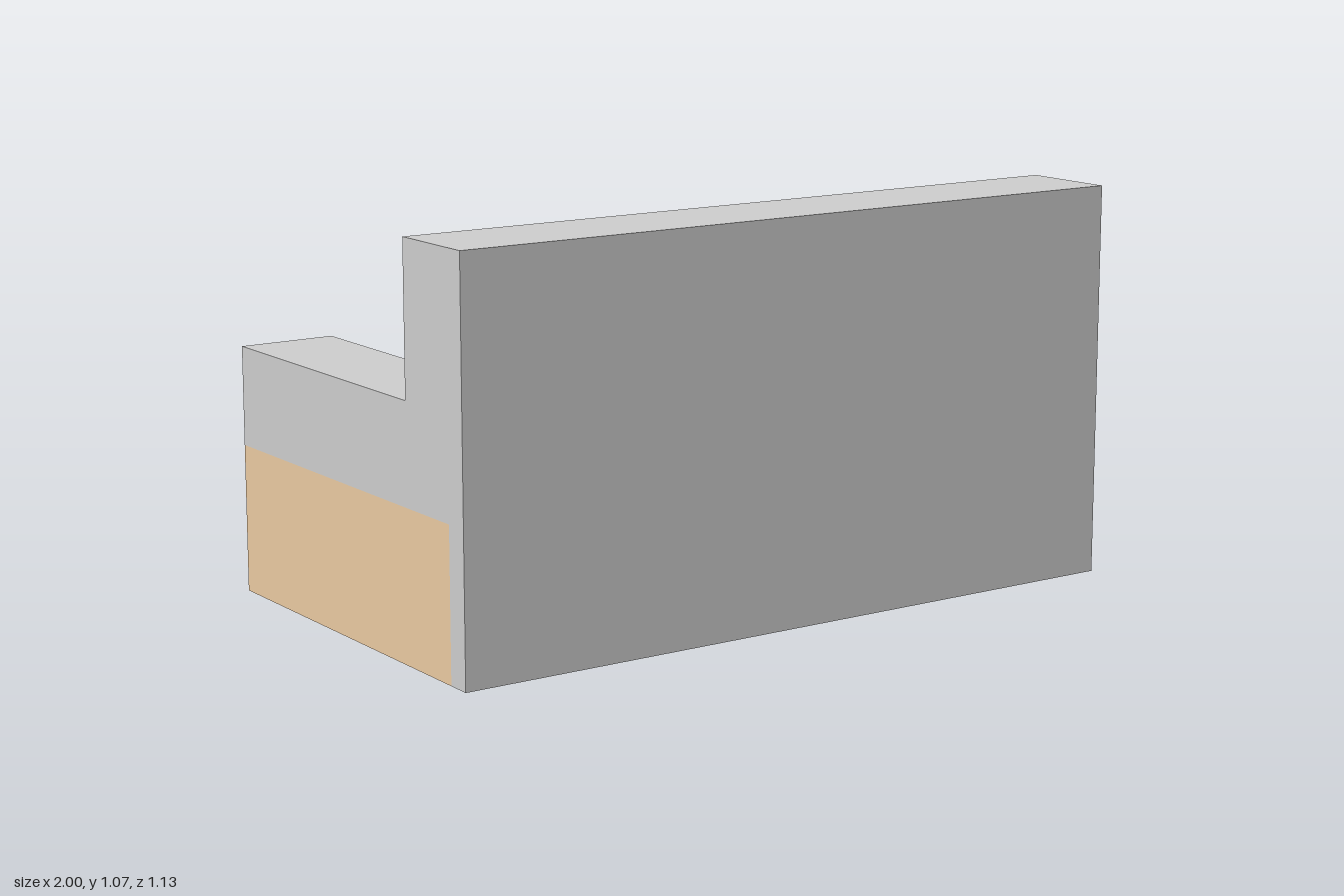
import * as THREE from 'three';

const GREY = 0xcccccc, TAN = 0xe8c8a0;
const HALF = 0.567; // half depth
const BASE_TOP = 0.4, BASE_END = 0.5, BACK_FACE = 0.3;

const material = color => new THREE.MeshStandardMaterial({ color, flatShading: true });

// Box given by its lower and upper corners
function block(name, min, max, mat) {
  const size = max.map((v, i) => v - min[i]);
  const mesh = new THREE.Mesh(new THREE.BoxGeometry(...size), mat);
  mesh.position.set(...max.map((v, i) => (v + min[i]) / 2));
  mesh.name = name;
  return mesh;
}

export function createModel() {
  const sofa = new THREE.Group();
  sofa.name = 'sofa';
  const grey = material(GREY), tan = material(TAN);

  // Seat base, running the full width beneath the arms
  sofa.add(block('seatBase', [-1, 0, -HALF], [1, BASE_TOP, BASE_END], tan));

  // Armrests on the base, one at each end
  for (const [name, x] of [['leftArm', 0.733], ['rightArm', -1]]) {
    sofa.add(block(name, [x, BASE_TOP, -HALF], [x + 0.267, 0.667, BACK_FACE], grey));
  }

  // Backrest: stepped (z, y) profile that wraps over the rear of the base
  const profile = new THREE.Shape([
    [BASE_END, 0], [HALF, 0], [HALF, 1.067],
    [BACK_FACE, 1.067], [BACK_FACE, BASE_TOP], [BASE_END, BASE_TOP],
  ].map(([z, y]) => new THREE.Vector2(z, y)));
  const geometry = new THREE.ExtrudeGeometry(profile, { depth: 2, bevelEnabled: false });
  geometry.rotateY(-Math.PI / 2).translate(1, 0, 0);
  const back = new THREE.Mesh(geometry, grey);
  back.name = 'backrest';
  sofa.add(back);

  return sofa;
}
